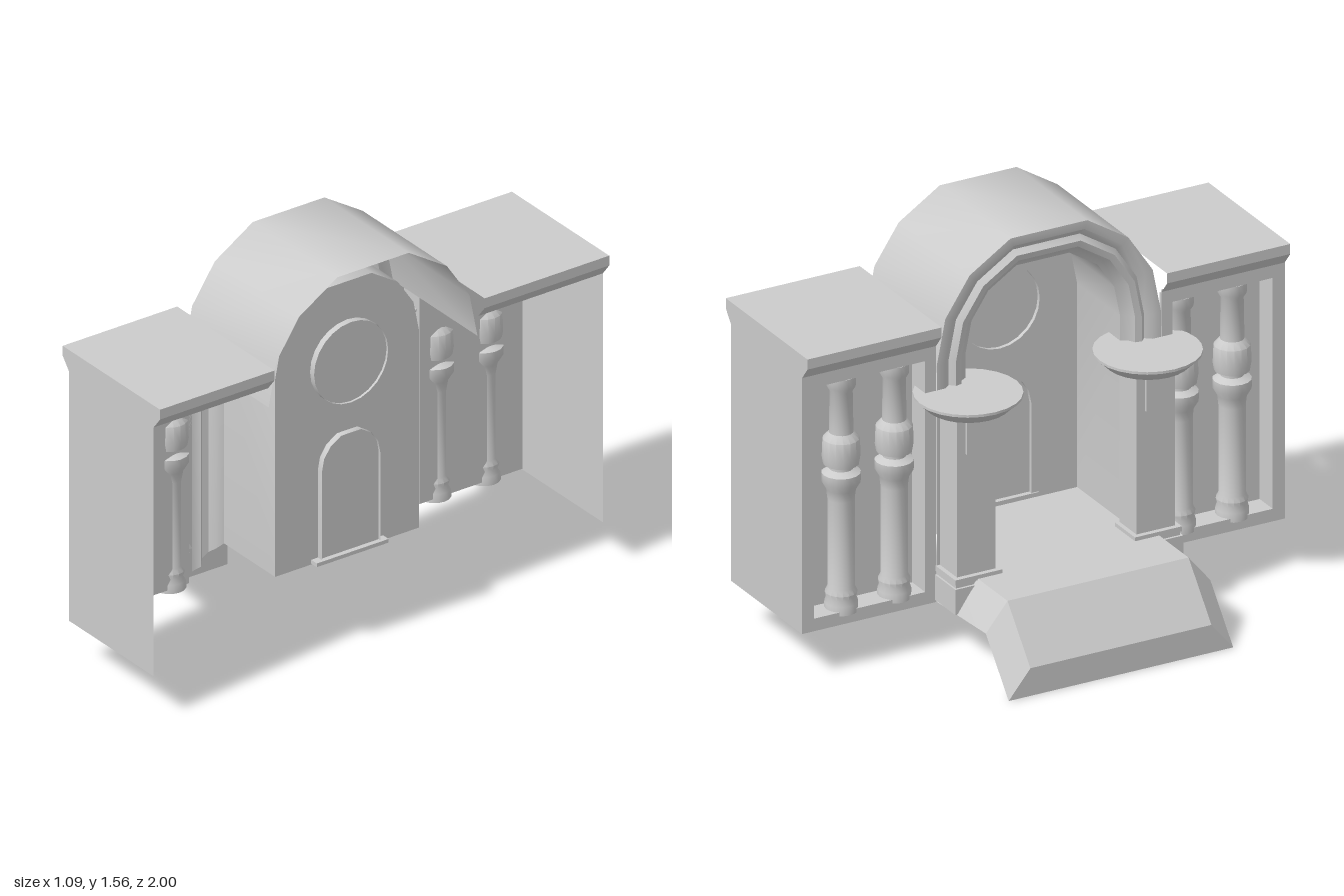
import * as THREE from 'three';
import { toCreasedNormals } from 'three/addons/utils/BufferGeometryUtils.js';

const MID = 0.023; // z of the arch axis
const FRONT = -0.02; // x of the facade plane
const NICHE = 0.076; // x of the column niche back
const ALCOVE = 0.34; // x of the alcove back wall
const mat = new THREE.MeshStandardMaterial({ color: 0xcccccc, side: THREE.DoubleSide });

function add(parent, name, geometry, x = 0, y = 0, z = 0) {
  const mesh = new THREE.Mesh(geometry, mat);
  mesh.name = name;
  mesh.position.set(x, y, z);
  parent.add(mesh);
  return mesh;
}

// Sheet joining rows of points [x, y, z]
function sheet(rows, crease = 0.7) {
  const n = rows[0].length, index = [];
  for (let i = 0; i < rows.length - 1; i++)
    for (let j = 0; j < n - 1; j++) {
      const a = i * n + j, b = a + n;
      index.push(a, b, a + 1, a + 1, b, b + 1);
    }
  const g = new THREE.BufferGeometry();
  g.setAttribute('position', new THREE.Float32BufferAttribute(rows.flat(2), 3));
  g.setIndex(index);
  return toCreasedNormals(g, crease);
}

// Shapes are drawn as (z, y) and turned to face -x
const faceOut = (g) => g.rotateY(-Math.PI / 2);

function rect(z0, y0, z1, y1) {
  return [[z0, y0], [z1, y0], [z1, y1], [z0, y1]].map((p) => new THREE.Vector2(...p));
}

// Arch outline as [z, y], with a flat crown
function arch(r, base, spring = 1.12, centre = MID) {
  const pts = [0, 22.5, 45, 70, 110, 135, 157.5, 180].map((d) => {
    const a = THREE.MathUtils.degToRad(d);
    return [centre + r * Math.cos(a), spring + r * Math.sin(a)];
  });
  return [[centre + r, base], ...pts, [centre - r, base]];
}

const archRow = (x, r, base) => arch(r, base).map(([z, y]) => [x, y, z]);
const vec = (pts) => pts.map((p) => new THREE.Vector2(...p));

function sideBay(sign, inner) {
  const bay = new THREE.Group();
  bay.name = sign > 0 ? 'leftBay' : 'rightBay';
  const outer = sign, h0 = inner + sign * 0.045, h1 = sign * 0.95;

  // Front frame around the niche
  const frame = new THREE.Shape(rect(inner, 0.18, outer, 1.21));
  frame.holes.push(new THREE.Path(rect(h0, 0.23, h1, 1.15)));
  add(bay, 'bayFrame', faceOut(new THREE.ShapeGeometry(frame)), FRONT);

  // Niche sides and back
  const ring = [[h0, 0.23], [h1, 0.23], [h1, 1.15], [h0, 1.15], [h0, 0.23]];
  add(bay, 'nicheSides', sheet([FRONT, NICHE].map((x) => ring.map(([z, y]) => [x, y, z]))));
  add(bay, 'nicheBack', faceOut(new THREE.ShapeGeometry(new THREE.Shape(rect(h0, 0.23, h1, 1.15)))), NICHE);

  // End wall and the roof with its flared cornice
  const cornice = [[FRONT, 1.2], [-0.06, 1.25], [-0.06, 1.29], [0.54, 1.29], [0.54, 1.25], [0.5, 1.2]];
  const end = new THREE.Shape(vec([[FRONT, 0.18], ...cornice, [0.5, 0.18]]));
  add(bay, 'endWall', new THREE.ShapeGeometry(end), 0, 0, outer);
  add(bay, 'corniceRoof', sheet([inner, outer].map((z) => cornice.map(([x, y]) => [x, y, z])), 0.4));

  // Turned columns, set slightly through the niche back
  const profile = vec([
    [0, 0.215], [0.062, 0.215], [0.062, 0.25], [0.055, 0.27], [0.06, 0.29], [0.05, 0.31],
    [0.05, 0.66], [0.055, 0.7], [0.072, 0.73], [0.072, 0.765], [0.044, 0.78], [0.044, 0.79],
    [0.066, 0.8], [0.071, 0.83], [0.068, 0.9], [0.045, 0.925], [0.042, 1.09],
    [0.054, 1.11], [0.054, 1.15]]);
  const column = toCreasedNormals(new THREE.LatheGeometry(profile, 16), 0.7);
  for (const z of [0.59, 0.81]) add(bay, 'column', column, 0.03, 0, sign * z);
  return bay;
}

function pilaster(z) {
  const p = new THREE.Group();
  p.name = 'pilaster';
  p.position.z = z;
  const block = (name, x0, y0, y1, w) =>
    add(p, name, new THREE.BoxGeometry(FRONT - x0, y1 - y0, w), (x0 + FRONT) / 2, (y0 + y1) / 2, 0);
  block('plinth', -0.17, 0.19, 0.29, 0.2);
  block('plinthMoulding', -0.16, 0.29, 0.305, 0.185);
  block('plinthCap', -0.165, 0.305, 0.325, 0.195);
  block('shaft', -0.145, 0.325, 0.97, 0.16);
  block('shaftPanel', -0.157, 0.81, 0.95, 0.09);
  // Round dish capital
  const dish = vec([[0, 0.96], [0.13, 0.96], [0.155, 0.97], [0.185, 1.0], [0.2, 1.012], [0.2, 1.022], [0, 1.022]]);
  add(p, 'capital', toCreasedNormals(new THREE.LatheGeometry(dish, 24), 0.6), -0.085, 0, 0);
  return p;
}

function entrance() {
  const g = new THREE.Group();
  g.name = 'entrance';

  // Barrel vault standing above the bays
  add(g, 'barrelVault', sheet([archRow(0.5, 0.465, 1.12), archRow(FRONT, 0.465, 1.12)]));

  // Moulded arch band running into the alcove: [x, radius, foot height]
  const band = [[FRONT, 0.465, 0.18], [FRONT, 0.43, 0.21], [0.0, 0.405, 0.23], [FRONT, 0.385, 0.25],
    [-0.015, 0.36, 0.27], [0.01, 0.345, 0.29], [0.025, 0.32, 0.31], [ALCOVE, 0.32, 0.31]];
  add(g, 'archBand', sheet(band.map((b) => archRow(...b))));

  // Alcove back wall with openings for the door and round window
  const door = arch(0.13, 0.32, 0.69);
  const wall = new THREE.Shape(vec(arch(0.32, 0.31)));
  wall.holes.push(new THREE.Path(vec(door)));
  const round = new THREE.Path();
  round.absarc(MID, 1.1, 0.165, 0, Math.PI * 2, true);
  wall.holes.push(round);
  add(g, 'alcoveWall', faceOut(new THREE.ShapeGeometry(wall, 12)), ALCOVE);

  // Recessed door and window with their reveals
  const back = ALCOVE + 0.025;
  add(g, 'door', faceOut(new THREE.ShapeGeometry(new THREE.Shape(vec(door)))), back - 0.01);
  const doorLoop = [...door, door[0]];
  add(g, 'doorReveal', sheet([ALCOVE, back].map((x) => doorLoop.map(([z, y]) => [x, y, z]))));
  add(g, 'doorSill', new THREE.BoxGeometry(0.04, 0.015, 0.32), ALCOVE + 0.015, 0.322, MID);
  add(g, 'roundWindow', faceOut(new THREE.CircleGeometry(0.165, 24)), back - 0.01, 1.1, MID);
  const rim = new THREE.CylinderGeometry(0.165, 0.165, 0.025, 24, 1, true).rotateZ(Math.PI / 2);
  add(g, 'windowReveal', rim, ALCOVE + 0.0125, 1.1, MID);

  // Alcove floor
  add(g, 'floor', sheet([FRONT, ALCOVE].map((x) => [[x, 0.31, MID - 0.32], [x, 0.31, MID + 0.32]])));

  // Porch ramp with bevelled sides and a closed toe
  const ramp = (x, low, high) => [[-0.465, low], [-0.375, high], [0.375, high], [0.465, low]]
    .map(([z, y]) => [x, y, MID + z]);
  add(g, 'porchRamp', sheet([ramp(FRONT, 0.18, 0.31), ramp(-0.38, 0.2, 0.31),
    ramp(-0.548, 0, 0.11), ramp(-0.548, 0, 0)], 0.5));

  for (const s of [-1, 1]) g.add(pilaster(MID + s * 0.372));
  return g;
}

export function createModel() {
  const model = new THREE.Group();
  model.name = 'facade';
  model.add(entrance(), sideBay(1, 0.49), sideBay(-1, -0.445));
  return model;
}
